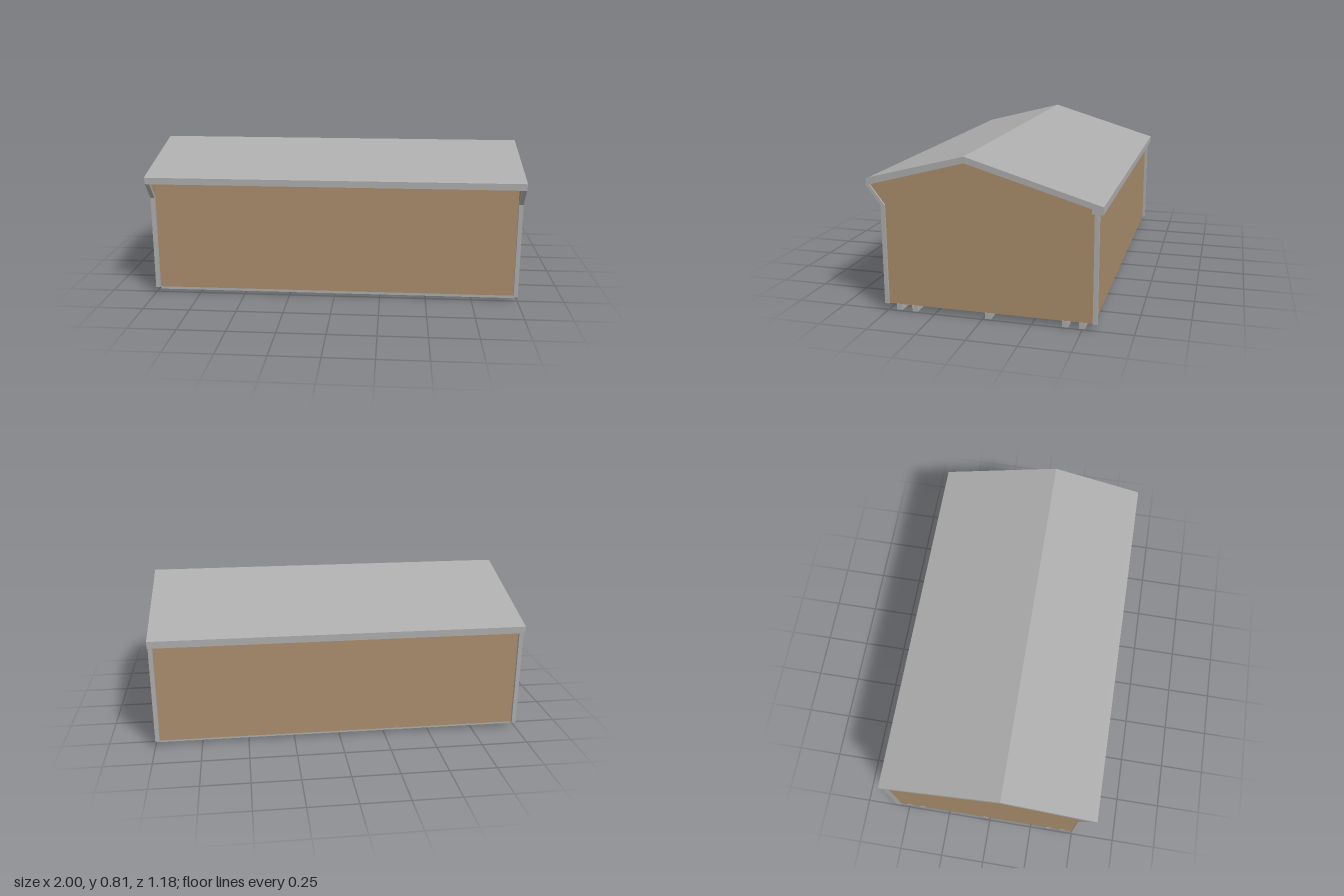
import * as THREE from 'three';

export function createModel() {
  const group = new THREE.Group();
  const siding = new THREE.MeshStandardMaterial({ color: 0xa98d6c });
  siding.name = 'tan siding';
  const metal = new THREE.MeshStandardMaterial({ color: 0xadadad });
  metal.name = 'grey metal';

  // Extrudes a [z, y] outline along x from x0 to x1
  function profile(name, points, x0, x1, material) {
    const shape = new THREE.Shape(points.map(([z, y]) => new THREE.Vector2(-z, y)));
    const geo = new THREE.ExtrudeGeometry(shape, { depth: x1 - x0, bevelEnabled: false });
    geo.rotateY(Math.PI / 2);
    geo.translate(x0, 0, 0);
    const mesh = new THREE.Mesh(geo, material);
    mesh.name = name;
    group.add(mesh);
  }
  const rect = (z0, z1, y0, y1) => [[z0, y0], [z1, y0], [z1, y1], [z0, y1]];

  const base = 0.032;

  // Roof with ridge, front fascia and boxed back eave
  profile('roof', [
    [0.592, 0.642], [0.592, 0.677], [0.575, 0.685], [0.08, 0.812], [-0.592, 0.61],
    [-0.592, 0.573], [-0.537, 0.573], [-0.537, 0.598], [0.08, 0.78], [0.578, 0.648],
  ], -1, 1, metal);

  // Long walls
  profile('frontWall', rect(0.49, 0.503, base, 0.668), -0.975, 0.975, siding);
  profile('backWall', rect(-0.556, -0.543, base, 0.597), -0.975, 0.975, siding);

  // Gable walls and their edge trim, mirrored at both ends
  for (const side of [-1, 1]) {
    const span = (a, b) => (side > 0 ? [a, b] : [-b, -a]);
    const label = side > 0 ? 'left' : 'right';
    profile(label + 'GableWall', [
      [0.5, base], [0.5, 0.55], [0.578, 0.65], [0.08, 0.782], [-0.55, 0.597], [-0.55, base],
    ], ...span(0.975, 0.988), siding);
    profile(label + 'FrontTrim', [
      [0.519, base], [0.519, 0.548], [0.592, 0.642], [0.575, 0.65], [0.498, 0.548], [0.498, base],
    ], ...span(0.975, 0.998), metal);
    profile(label + 'BackTrim', rect(-0.572, -0.55, base, 0.58), ...span(0.975, 0.998), metal);
    // Inner corner gusset under the roof
    profile(label + 'Gusset', [[0.49, 0.51], [0.49, 0.668], [0.34, 0.708]], ...span(0.966, 0.975), metal);
  }

  // Skids under the open floor
  [0.443, 0.36, -0.027, -0.415, -0.497].forEach((z) => {
    profile('skid', rect(z - 0.015, z + 0.015, 0, base), -0.99, 0.99, metal);
  });

  return group;
}
